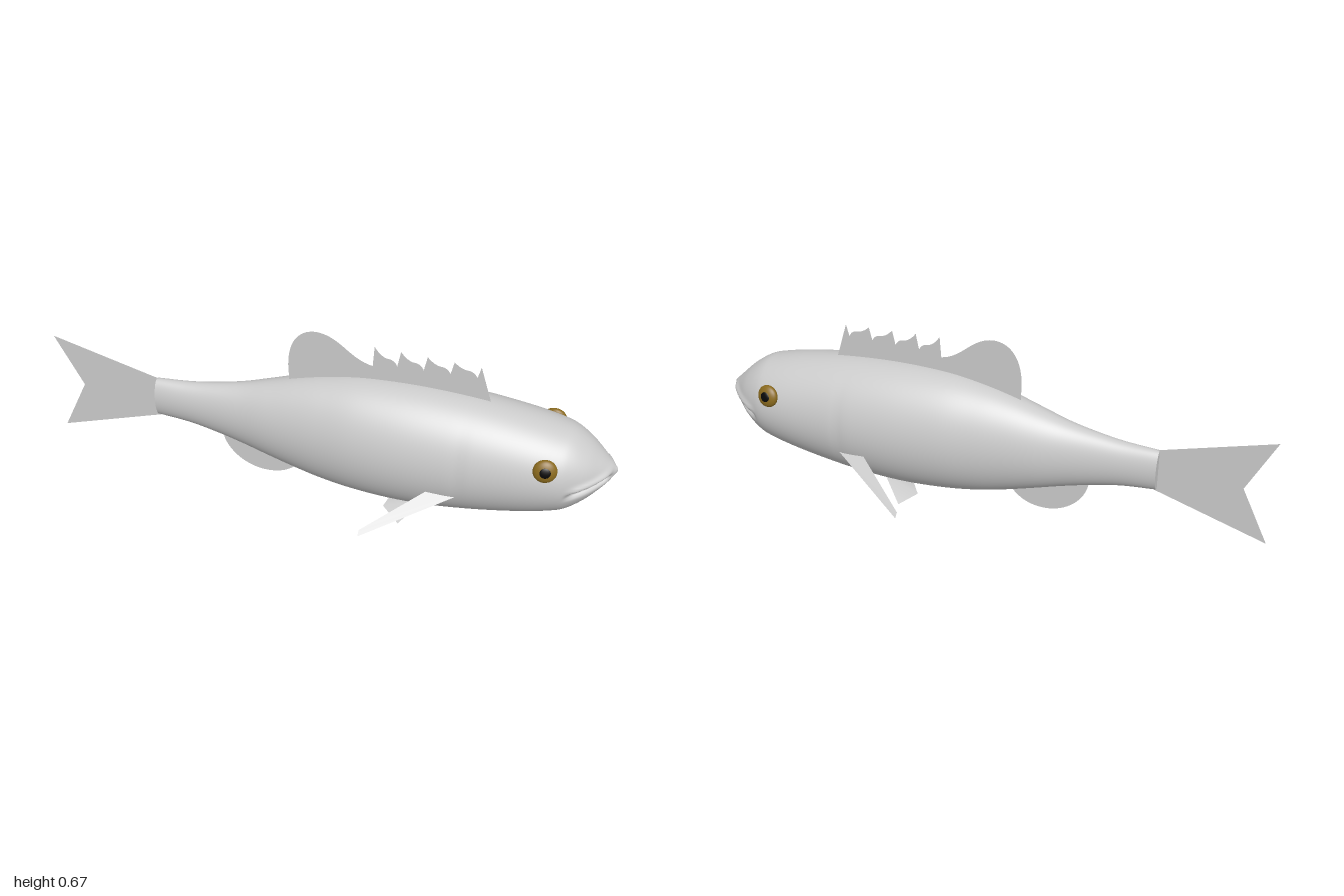
import * as THREE from 'three';

const grey = new THREE.MeshStandardMaterial({ color: 0xcccccc });
const thin = new THREE.MeshStandardMaterial({ color: 0xcccccc, side: THREE.DoubleSide });
const gold = new THREE.MeshStandardMaterial({ color: 0x8a6a1e });
const black = new THREE.MeshStandardMaterial({ color: 0x080808 });

// Body stations: x, top y, bottom y, half width
const STATIONS = [
  [-0.62, 0.385, 0.235, 0.036], [-0.5, 0.39, 0.222, 0.046], [-0.4, 0.403, 0.2, 0.058],
  [-0.3, 0.422, 0.173, 0.076], [-0.2, 0.45, 0.143, 0.1], [-0.1, 0.479, 0.114, 0.122],
  [0, 0.502, 0.09, 0.143], [0.12, 0.52, 0.073, 0.165], [0.26, 0.525, 0.064, 0.179],
  [0.4, 0.52, 0.067, 0.183], [0.55, 0.505, 0.082, 0.179], [0.7, 0.48, 0.107, 0.17],
  [0.8, 0.457, 0.13, 0.157], [0.85, 0.441, 0.147, 0.14], [0.9, 0.408, 0.185, 0.113],
  [0.94, 0.372, 0.225, 0.08], [0.975, 0.337, 0.265, 0.043], [1, 0.312, 0.3, 0.004],
];

function mesh(geometry, material, name) {
  const m = new THREE.Mesh(geometry, material);
  m.name = name;
  return m;
}

const bump = (d, width) => Math.exp(-((d / width) ** 2));

function bodyGeometry() {
  const rings = 136, sides = 96, pos = [], index = [];
  const outline = new THREE.CatmullRomCurve3(
    STATIONS.map(([x, t, b]) => new THREE.Vector3(x, t, b)), false, 'catmullrom');
  const width = new THREE.CatmullRomCurve3(
    STATIONS.map(([x, , , w]) => new THREE.Vector3(x, w, 0)), false, 'catmullrom');
  for (let i = 0; i <= rings; i++) {
    const { x, y: top, z: bottom } = outline.getPoint(i / rings);
    const w = width.getPoint(i / rings).y;
    for (let j = 0; j < sides; j++) {
      const a = (j / sides) * Math.PI * 2;
      const y = (top + bottom) / 2 + ((top - bottom) / 2) * Math.cos(a);
      // Mouth groove with a lip above it, and a faint gill groove
      const d = y - (0.262 + 0.27 * (x - 0.85));
      const mouth = THREE.MathUtils.smoothstep(x, 0.83, 0.88) *
        (1 - THREE.MathUtils.smoothstep(x, 0.96, 0.995));
      const gill = bump(x - 0.49, 0.016) * bump(y - 0.31, 0.12) * 0.004;
      const push = mouth * (0.008 * bump(d - 0.024, 0.012) - 0.016 * bump(d, 0.011)) - gill;
      pos.push(x + push * 0.5, y, Math.sin(a) * Math.max(w + push, 0.002));
      if (i < rings) {
        const k = (j + 1) % sides, p = i * sides, q = p + sides;
        index.push(p + j, p + k, q + j, p + k, q + k, q + j);
      }
    }
  }
  const g = new THREE.BufferGeometry();
  g.setAttribute('position', new THREE.Float32BufferAttribute(pos, 3));
  g.setIndex(index);
  g.computeVertexNormals();
  return g;
}

// Flat fin in the middle plane
function flatFin(shape, name) {
  return mesh(new THREE.ShapeGeometry(shape, 16), thin, name);
}

// Four-cornered side fin, mirrored by the sign of z
function sideFin(corners, side, name) {
  const g = new THREE.BufferGeometry();
  g.setAttribute('position', new THREE.Float32BufferAttribute(
    corners.flatMap(([x, y, z]) => [x, y, z * side]), 3));
  g.setIndex(side > 0 ? [0, 1, 2, 0, 2, 3] : [0, 2, 1, 0, 3, 2]);
  g.computeVertexNormals();
  return mesh(g, thin, name);
}

function createEye(side, name) {
  const eye = new THREE.Group();
  eye.name = name;
  const ball = mesh(new THREE.SphereGeometry(0.04, 32, 20), gold, 'eyeball');
  ball.scale.z = 0.5;
  const pupil = mesh(new THREE.SphereGeometry(0.019, 24, 16), black, 'pupil');
  pupil.scale.z = 0.3;
  pupil.position.z = 0.016;
  eye.add(ball, pupil);
  eye.position.set(0.77, 0.371, 0.152 * side);
  eye.lookAt(0.77 + 0.12, 0.371 + 0.25, 1.152 * side);
  return eye;
}

export function createModel() {
  const fish = new THREE.Group();
  fish.name = 'fish';
  fish.add(mesh(bodyGeometry(), grey, 'body'));

  // Closed end of the body at the tail
  const cap = mesh(new THREE.CircleGeometry(1, 48), grey, 'tailStump');
  cap.scale.set(0.036, 0.075, 1);
  cap.rotation.y = -Math.PI / 2;
  cap.position.set(-0.62, 0.31, 0);
  fish.add(cap);

  // Forked tail
  const tail = new THREE.Shape();
  tail.moveTo(-0.6, 0.382);
  [[-1, 0.502], [-0.905, 0.308], [-1, 0.113], [-0.6, 0.232]].forEach(p => tail.lineTo(...p));
  fish.add(flatFin(tail, 'tailFin'));

  // Dorsal fin: soft rear lobe, then a row of hooked spines
  const dorsal = new THREE.Shape();
  dorsal.moveTo(-0.13, 0.45);
  dorsal.lineTo(-0.133, 0.53);
  dorsal.bezierCurveTo(-0.132, 0.63, -0.09, 0.68, -0.03, 0.677);
  dorsal.bezierCurveTo(0.05, 0.67, 0.08, 0.59, 0.16, 0.575);
  for (let i = 0; i < 5; i++) {
    const x = 0.165 + i * 0.089, y = 0.652 - i * 0.005;
    dorsal.lineTo(x, y);
    if (i < 4) {
      dorsal.quadraticCurveTo(x + 0.025, 0.612, x + 0.05, 0.612);
      dorsal.quadraticCurveTo(x + 0.07, 0.608, x + 0.078, 0.588);
    }
  }
  dorsal.lineTo(0.565, 0.49);
  dorsal.lineTo(0.25, 0.48);
  fish.add(flatFin(dorsal, 'dorsalFin'));

  // Rounded fin under the rear body
  const anal = new THREE.Shape();
  anal.moveTo(-0.385, 0.215);
  anal.bezierCurveTo(-0.385, 0.12, -0.3, 0.052, -0.22, 0.052);
  anal.bezierCurveTo(-0.16, 0.052, -0.12, 0.075, -0.085, 0.13);
  anal.lineTo(-0.2, 0.2);
  fish.add(flatFin(anal, 'analFin'));

  for (const [side, label] of [[1, 'right'], [-1, 'left']]) {
    fish.add(sideFin([[0.49, 0.213, 0.165], [0.4, 0.226, 0.165], [0.195, 0.127, 0.315],
      [0.195, 0.112, 0.33]], side, label + 'PectoralFin'));
    fish.add(sideFin([[0.36, 0.085, 0.068], [0.25, 0.085, 0.066], [0.228, 0.045, 0.08],
      [0.29, 0.005, 0.115]], side, label + 'PelvicFin'));
    fish.add(createEye(side, label + 'Eye'));
  }
  return fish;
}
